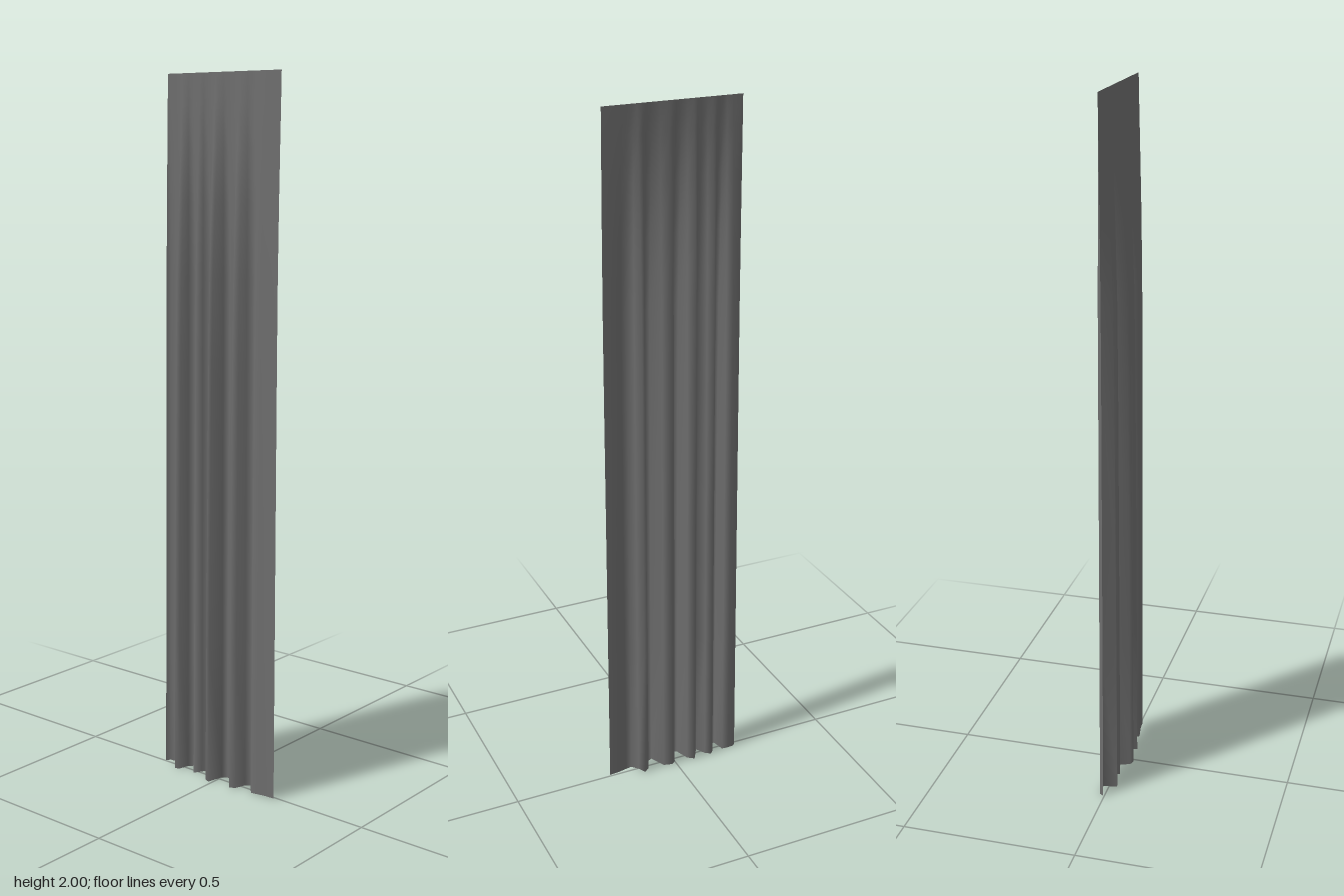
import * as THREE from 'three';

// Hem of the curtain seen from above, as [z, x] pairs from back to front
const HEM = [
  [-0.208, 0.003], [-0.2, 0.016], [-0.18, 0.019], [-0.16, 0.017], [-0.151, -0.023], [-0.137, -0.02],
  [-0.129, 0.012], [-0.117, 0.03], [-0.102, 0.014], [-0.085, -0.014], [-0.072, 0.008],
  [-0.061, 0.032], [-0.042, 0.013], [-0.027, -0.029], [-0.011, -0.035], [0, 0.014],
  [0.012, 0.028], [0.038, 0.019], [0.06, -0.028], [0.077, -0.02], [0.087, 0.012],
  [0.103, 0.03], [0.115, 0.002], [0.132, -0.016], [0.15, -0.013], [0.175, -0.008], [0.205, -0.006],
];

// Rows as [height, depth of the folds to -x, depth of the folds to +x]
const ROWS = [
  [0, 1, 0.72], [0.4, 0.93, 0.78], [0.8, 0.85, 0.86], [1.2, 0.76, 0.95],
  [1.45, 0.66, 1], [1.65, 0.47, 0.75], [1.8, 0.27, 0.45], [1.92, 0.1, 0.16], [2, 0, 0],
];
const RAIL_X = 0.012;

export function createModel() {
  const group = new THREE.Group();
  group.name = 'curtain';
  const fabric = new THREE.MeshStandardMaterial({ color: 0x6e6e6e, side: THREE.DoubleSide });
  fabric.name = 'grey fabric';

  // Cloth: folds fade out towards the straight top edge
  const cols = HEM.length - 1, rows = ROWS.length - 1;
  const cloth = new THREE.PlaneGeometry(1, 1, cols, rows);
  const pos = cloth.attributes.position;
  ROWS.forEach(([y, inward, outward], r) => {
    const t = y / 2;
    HEM.forEach(([hemZ, hemX], c) => {
      const offset = hemX - RAIL_X;
      const topZ = -0.192 + 0.392 * (hemZ + 0.208) / 0.413;
      const x = RAIL_X + offset * (offset < 0 ? inward : outward);
      // Row 0 of the plane is its top; columns run front to back so +x is the outer face
      pos.setXYZ((rows - r) * (cols + 1) + cols - c, x, y, THREE.MathUtils.lerp(hemZ, topZ, t));
    });
  });
  cloth.computeVertexNormals();
  const mesh = new THREE.Mesh(cloth, fabric);
  mesh.name = 'pleatedCloth';
  group.add(mesh);
  return group;
}
